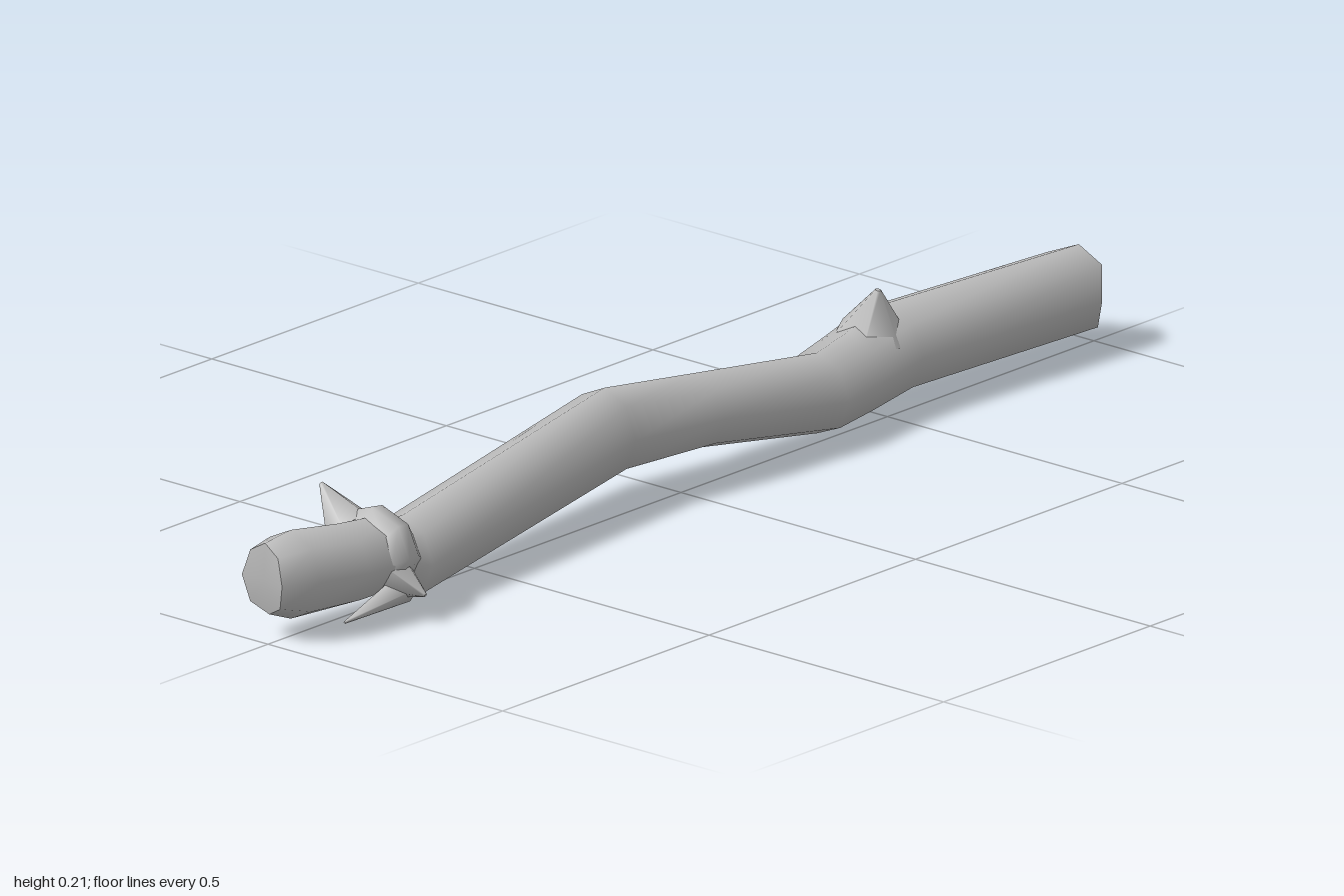
import * as THREE from 'three';

const SIDES = 8;

// Each section: [x, yMin, yMax, zMin, zMax]. Rim offsets make the broken ends uneven.
function limb(name, sections, material, startRim = [], endRim = [], startInset = 0, endInset = 0) {
  const pos = [], index = [];
  const ring = ([x, y0, y1, z0, z1], rim = []) => {
    const first = pos.length / 3;
    for (let j = 0; j < SIDES; j++) {
      const a = (j / SIDES) * Math.PI * 2;
      pos.push(x + (rim[j] || 0),
        (y0 + y1) / 2 + Math.cos(a) * (y1 - y0) / 2,
        (z0 + z1) / 2 + Math.sin(a) * (z1 - z0) / 2);
    }
    return first;
  };
  const last = sections.length - 1;
  const rimOf = (i) => (i === 0 ? startRim : i === last ? endRim : []);
  // bark
  const rings = sections.map((s, i) => ring(s, rimOf(i)));
  for (let i = 0; i < last; i++) {
    for (let j = 0; j < SIDES; j++) {
      const k = (j + 1) % SIDES;
      const a = rings[i] + j, b = rings[i] + k, c = rings[i + 1] + j, d = rings[i + 1] + k;
      index.push(a, b, c, b, d, c);
    }
  }
  // end faces with their own vertices so the rims stay sharp
  for (const [i, inset] of [[0, startInset], [last, -endInset]]) {
    const s = sections[i], first = ring(s, rimOf(i)), centre = pos.length / 3;
    pos.push(s[0] + inset, (s[1] + s[2]) / 2, (s[3] + s[4]) / 2);
    for (let j = 0; j < SIDES; j++) {
      const a = first + j, b = first + (j + 1) % SIDES;
      if (i === 0) index.push(centre, b, a);
      else index.push(centre, a, b);
    }
  }
  const geo = new THREE.BufferGeometry();
  geo.setAttribute('position', new THREE.Float32BufferAttribute(pos, 3));
  geo.setIndex(index);
  geo.computeVertexNormals();
  const mesh = new THREE.Mesh(geo, material);
  mesh.name = name;
  return mesh;
}

// Pointed twig stub from a base point to a tip
function spike(name, base, tip, radius, material, sides = 6) {
  const from = new THREE.Vector3(...base), to = new THREE.Vector3(...tip);
  const dir = to.clone().sub(from);
  const mesh = new THREE.Mesh(
    new THREE.CylinderGeometry(radius * 0.08, radius, dir.length(), sides), material);
  mesh.position.copy(from).add(to).multiplyScalar(0.5);
  mesh.quaternion.setFromUnitVectors(new THREE.Vector3(0, 1, 0), dir.normalize());
  mesh.name = name;
  return mesh;
}

export function createModel() {
  const group = new THREE.Group();
  group.name = 'branch';
  const bark = new THREE.MeshStandardMaterial({ color: 0xbcbcbc });
  bark.name = 'grey bark';

  // long crooked main length
  group.add(limb('mainBranch', [
    [-0.76, 0.05, 0.15, -0.04, 0.07],
    [-0.69, 0.003, 0.145, -0.05, 0.078],
    [-0.12, 0.05, 0.198, -0.125, 0.01],
    [0.07, 0.053, 0.18, -0.097, 0.033],
    [0.34, 0.014, 0.15, -0.078, 0.06],
    [0.44, 0.012, 0.155, -0.105, 0.042],
    [0.55, 0.02, 0.172, -0.123, 0.033],
    [0.97, 0.02, 0.166, -0.095, 0.057],
  ], bark, [], [0.015, 0.01, -0.015, 0, -0.01, -0.005, 0.01, 0], 0, 0.01));

  // broken stump beyond the joint
  group.add(limb('brokenStump', [
    [-0.99, 0.045, 0.168, -0.06, 0.03],
    [-0.94, 0.03, 0.18, -0.068, 0.06],
    [-0.84, 0.03, 0.168, -0.06, 0.078],
    [-0.74, 0.035, 0.16, -0.05, 0.085],
  ], bark, [0, -0.005, -0.01, 0, 0.01, 0, -0.005, 0], [], -0.003, 0));

  // swollen collar at the joint
  group.add(limb('jointCollar', [
    [-0.79, 0.045, 0.155, -0.05, 0.08],
    [-0.765, 0.035, 0.178, -0.07, 0.095],
    [-0.74, 0.04, 0.175, -0.062, 0.092],
    [-0.715, 0.04, 0.145, -0.045, 0.075],
  ], bark));

  // stubs and splinters
  group.add(spike('topKnob', [0.5, 0.135, -0.035], [0.5, 0.213, -0.02], 0.062, bark));
  group.add(spike('frontSpike', [-0.765, 0.075, 0.05], [-0.755, 0.05, 0.12], 0.045, bark));
  group.add(spike('backSpike', [-0.765, 0.13, -0.03], [-0.76, 0.192, -0.098], 0.045, bark));
  group.add(spike('splinter', [-0.75, 0.055, 0.075], [-0.885, 0.024, 0.062], 0.028, bark, 4));
  return group;
}
